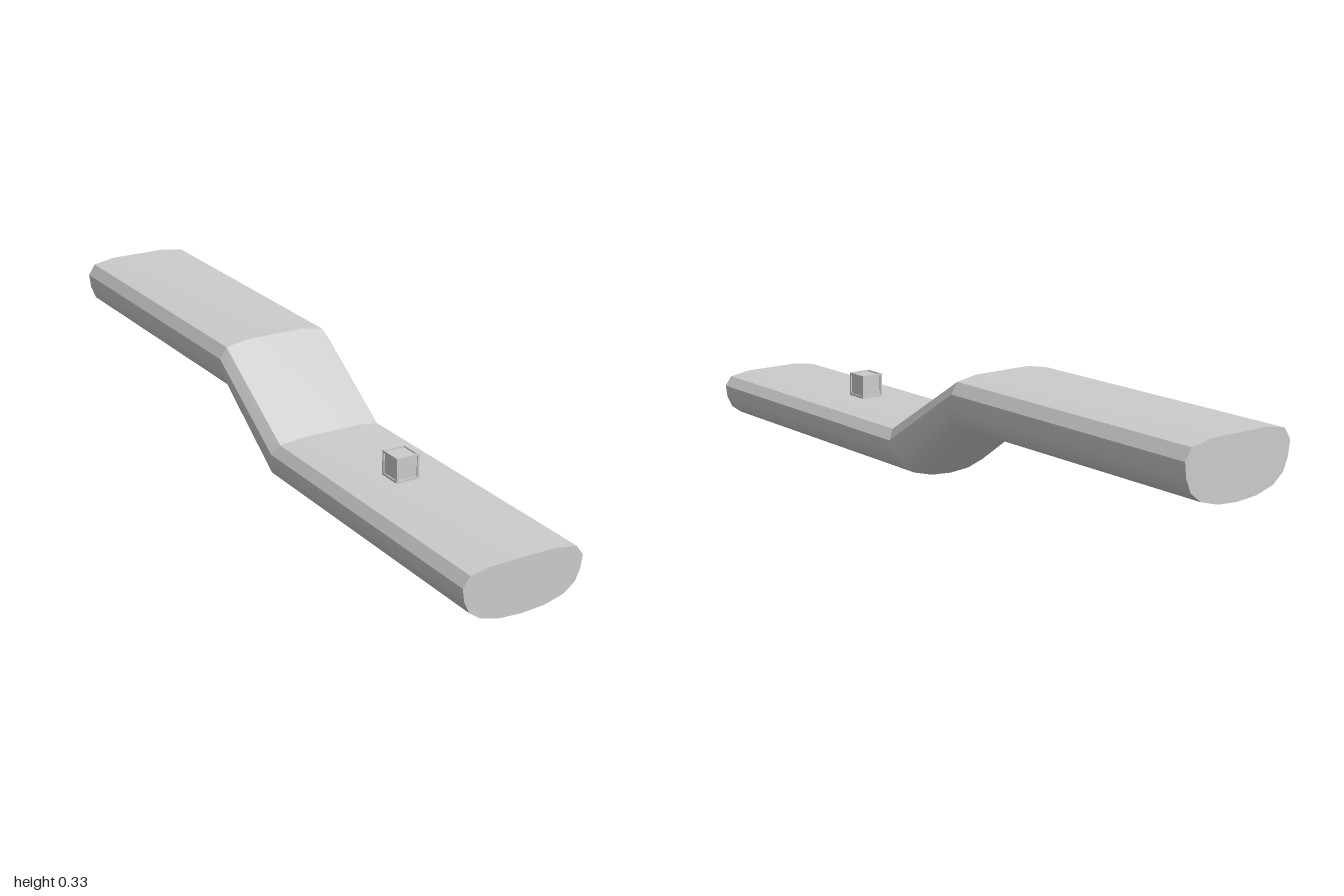
import * as THREE from 'three';
import { toCreasedNormals } from 'three/addons/utils/BufferGeometryUtils.js';

const material = new THREE.MeshStandardMaterial({ color: 0xcccccc, side: THREE.DoubleSide });

// Right half of the deck profile, bottom centre to top edge, then mirrored
const half = [[0, 0.002], [0.063, 0.006], [0.118, 0.02], [0.15, 0.043], [0.165, 0.075], [0.17, 0.11], [0.15, 0.137], [0.088, 0.147]];
const profile = [...half, ...half.slice(1).reverse().map(([x, y]) => [-x, y])];

// Cross-sections from front to back; the upper deck is slightly deeper
const lower = ([x, y], z) => [x, y, z];
const upper = ([x, y], z) => [x, 0.163 + 1.13 * y, z];
const sections = [
  profile.map((p) => lower(p, 1)),
  profile.map((p) => lower(p, 0.08 + 0.47 * p[1])),
  profile.map((p) => upper(p, -0.145)),
  profile.map((p) => upper(p, -1)),
];

function geometryFrom(points, index) {
  const g = new THREE.BufferGeometry();
  g.setAttribute('position', new THREE.Float32BufferAttribute(points.flat(), 3));
  g.setIndex(index);
  return toCreasedNormals(g, 0.6);
}

// Skin between two cross-sections
function loft(front, back) {
  const n = front.length;
  const index = [];
  for (let i = 0; i < n; i++) {
    const j = (i + 1) % n;
    index.push(i, n + i, n + j, i, n + j, j);
  }
  return geometryFrom([...front, ...back], index);
}

// Flat end face
function cap(ring, flip) {
  const index = [];
  for (let i = 1; i < ring.length - 1; i++) index.push(0, flip ? i + 1 : i, flip ? i : i + 1);
  return geometryFrom(ring, index);
}

export function createModel() {
  const model = new THREE.Group();
  const add = (parent, name, geometry) => {
    const mesh = new THREE.Mesh(geometry, material);
    mesh.name = name;
    parent.add(mesh);
    return mesh;
  };

  // Stepped deck
  const deck = new THREE.Group();
  deck.name = 'deck';
  ['lowerDeck', 'ramp', 'upperDeck'].forEach((name, i) => add(deck, name, loft(sections[i], sections[i + 1])));
  add(deck, 'frontEnd', cap(sections[0], false));
  add(deck, 'backEnd', cap(sections[3], true));
  model.add(deck);

  // Small crate: recessed core inside a frame of twelve beams
  const crate = new THREE.Group();
  crate.name = 'crate';
  const size = 0.067, beam = 0.006, offset = (size - beam) / 2;
  add(crate, 'crateCore', new THREE.BoxGeometry(0.06, 0.06, 0.06));
  for (const axis of [0, 1, 2]) {
    for (const u of [-offset, offset]) {
      for (const v of [-offset, offset]) {
        const dims = [beam, beam, beam];
        dims[axis] = axis === 1 ? size : size - 2 * beam;
        const at = [0, 0, 0];
        at[(axis + 1) % 3] = u;
        at[(axis + 2) % 3] = v;
        add(crate, 'crateBeam', new THREE.BoxGeometry(...dims)).position.set(...at);
      }
    }
  }
  crate.position.set(0, 0.181, 0.487);
  model.add(crate);
  return model;
}
